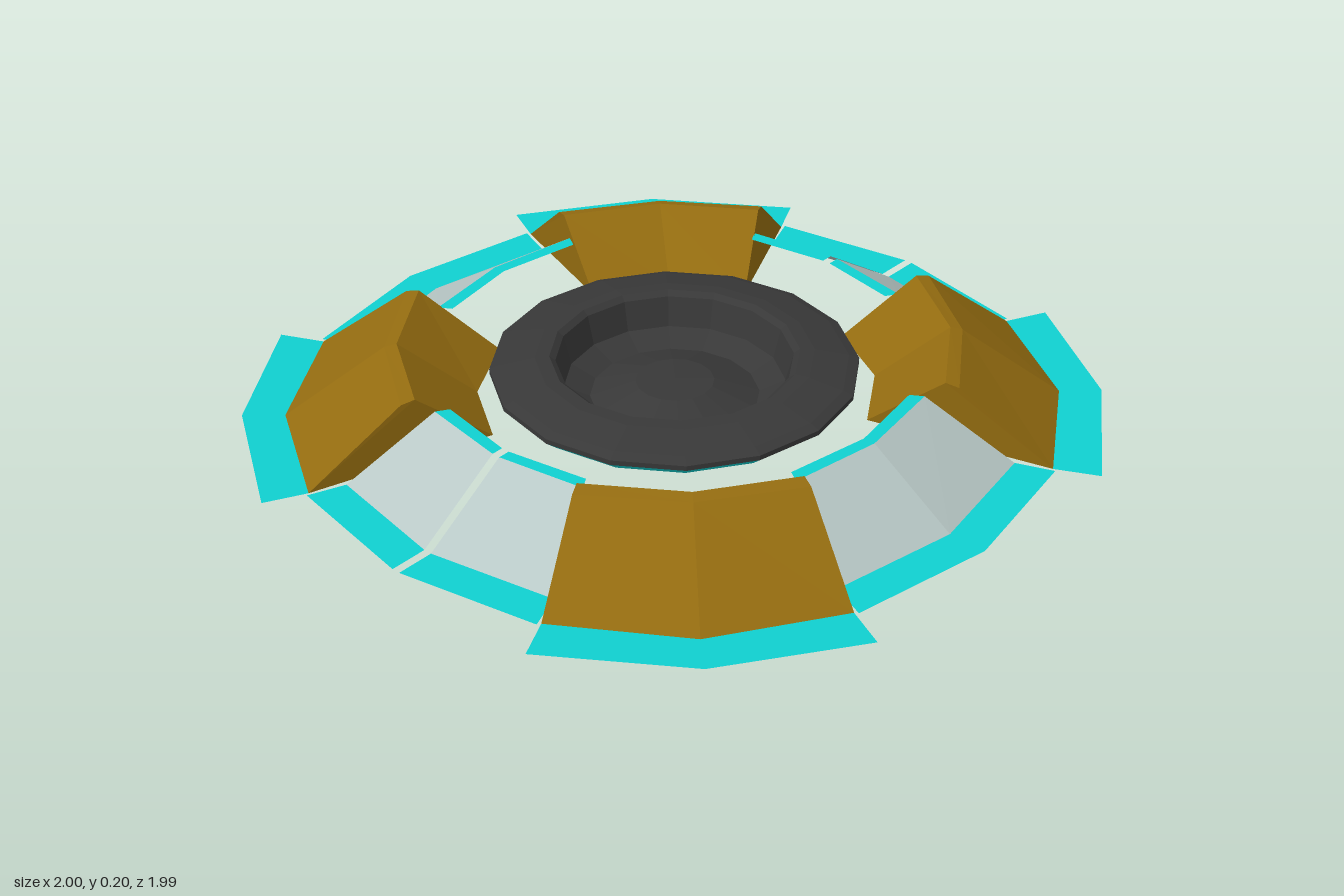
import * as THREE from 'three';

const paint = (name, color) => {
  const m = new THREE.MeshStandardMaterial({ color, side: THREE.DoubleSide });
  m.name = name;
  return m;
};

// Faceted sheet lofted between rows of [x, y, z] points.
function sheet(rows) {
  const pos = [];
  for (let r = 0; r < rows.length - 1; r++) {
    for (let i = 0; i < rows[r].length - 1; i++) {
      const a = rows[r][i], b = rows[r][i + 1], c = rows[r + 1][i + 1], d = rows[r + 1][i];
      pos.push(...a, ...b, ...c, ...a, ...c, ...d);
    }
  }
  const g = new THREE.BufferGeometry();
  g.setAttribute('position', new THREE.Float32BufferAttribute(pos, 3));
  g.computeVertexNormals();
  return g;
}

// Row of points at one height from [x, z] pairs.
const row = (y, pts) => pts.map(([x, z]) => [x, y, z]);

export function createModel() {
  const model = new THREE.Group();
  model.name = 'landingPad';
  const brown = paint('brown', 0x946c10);
  const cyan = paint('cyan', 0x10d0d0);
  const grey = paint('paleGrey', 0xb8c8c6);
  const dark = paint('charcoal', 0x383838);

  const add = (parent, name, geometry, material) => {
    const m = new THREE.Mesh(geometry, material);
    m.name = name;
    parent.add(m);
  };

  // Corner bunkers: one quadrant's rows, mirrored into the other three.
  const foot = row(0, [[0.89, 0.39], [0.695, 0.695], [0.39, 0.89]]);
  const shoulder = row(0.192, [[0.672, 0.284], [0.512, 0.512], [0.284, 0.672]]);
  const ridge = row(0.2, [[0.64, 0.27], [0.49, 0.49], [0.268, 0.64]]);
  const lipFront = row(0.045, [[0.465, 0.16], [0.36, 0.345], [0.19, 0.46]]);
  const lipBack = row(0.055, [[0.465, 0.193], [0.35, 0.37], [0.166, 0.468]]);
  const skirt = row(0.001, [[0.998, 0.442], [0.774, 0.77], [0.442, 0.994]]);
  for (const sx of [1, -1]) {
    for (const sz of [1, -1]) {
      const bunker = new THREE.Group();
      bunker.name = 'cornerBunker';
      bunker.scale.set(sx, 1, sz);
      model.add(bunker);
      const rows = [foot, shoulder, ridge, sz > 0 ? lipFront : lipBack];
      add(bunker, 'bunkerShell', sheet(rows), brown);
      for (const i of [0, 2]) {
        const [f, s, r, l] = rows.map((p) => p[i]);
        add(bunker, 'bunkerEnd', sheet([[f, l], [s, r]]), brown);
      }
      add(bunker, 'bunkerSkirt', sheet([skirt, foot]), cyan);
    }
  }

  // Sloped walls between the bunkers; front and back ones are split by a slit.
  for (let k = 0; k < 4; k++) {
    const split = k % 2 === 0;
    const wall = new THREE.Group();
    wall.name = split ? 'splitWall' : 'sideWall';
    wall.rotation.y = k * Math.PI / 2;
    model.add(wall);
    const gap = split ? 0.011 : 0;
    for (const s of [1, -1]) {
      const edge = (y, z0, x1, z1) => row(y, [[s * gap, z0], [s * x1, z1]]);
      const outer = edge(0.001, 0.97, 0.385, 0.9);
      const base = edge(0.001, 0.868, 0.348, 0.805);
      const top = edge(0.155, 0.635, 0.246, 0.597);
      const inner = edge(0.155, 0.603, 0.226, 0.565);
      add(wall, 'wallSkirt', sheet([outer, base]), cyan);
      add(wall, 'wallSlope', sheet([base, top]), grey);
      add(wall, 'wallLip', sheet([top, inner]), cyan);
    }
  }

  // Central dish: a thin turned shell with a raised middle.
  const lathe = (pts) => {
    const g = new THREE.LatheGeometry(pts.map(([r, y]) => new THREE.Vector2(r, y)), 16).toNonIndexed();
    g.computeVertexNormals();
    return g;
  };
  const dish = new THREE.Group();
  dish.name = 'centralDish';
  model.add(dish);
  add(dish, 'dishShell', lathe([
    [0.466, 0.105], [0.466, 0.118], [0.44, 0.128], [0.352, 0.148], [0.315, 0.15], [0.3, 0.138],
    [0.28, 0.06], [0.215, 0.03], [0.1, 0.07], [0, 0.074],
  ]), dark);
  add(dish, 'dishUnderRim', lathe([[0.43, 0.075], [0.466, 0.105]]), cyan);

  return model;
}
